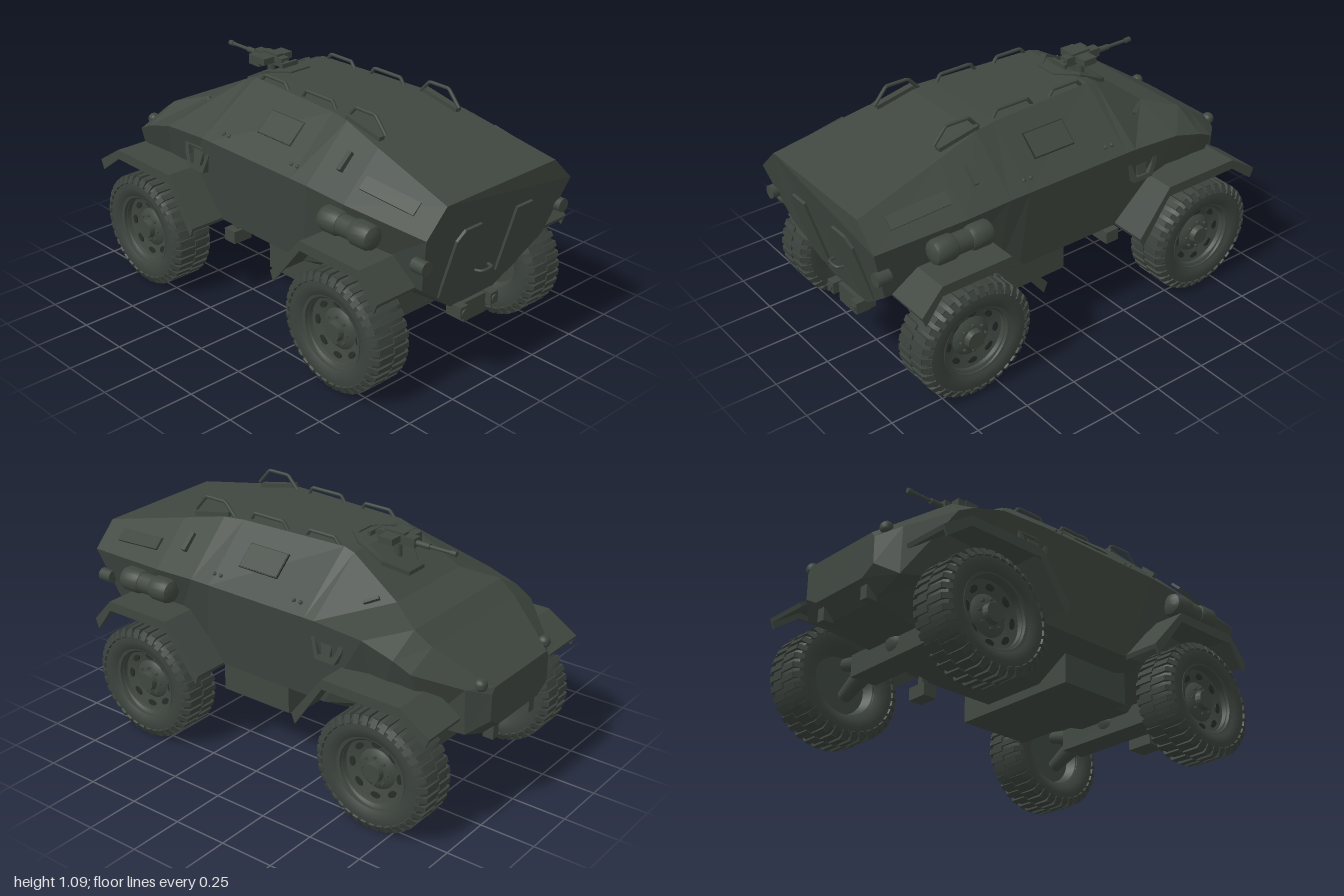
import * as THREE from 'three';
import { mergeGeometries, toCreasedNormals } from 'three/addons/utils/BufferGeometryUtils.js';

const paint = new THREE.MeshStandardMaterial({ color: 0x3f4740 });
paint.name = 'dark green paint';
const dark = new THREE.MeshStandardMaterial({ color: 0x292e2a });
dark.name = 'dark recess';
const rubber = new THREE.MeshStandardMaterial({ color: 0x3b423c });
rubber.name = 'tyre rubber';

const V = (x, y, z) => new THREE.Vector3(x, y, z);

function add(parent, name, geo, mat = paint, pos = [0, 0, 0], rot = [0, 0, 0]) {
  const m = new THREE.Mesh(geo, mat);
  m.name = name;
  m.position.set(...pos);
  m.rotation.set(...rot);
  parent.add(m);
  return m;
}
const box = (w, h, d) => new THREE.BoxGeometry(w, h, d);
const smooth = (g) => toCreasedNormals(g, 0.6);
const revolve = (pts, seg) => new THREE.LatheGeometry(pts.map((p) => new THREE.Vector2(...p)), seg);

// Round bar between two points
function rod(parent, name, a, b, r, r2 = r) {
  const d = b.clone().sub(a);
  const m = add(parent, name, new THREE.CylinderGeometry(r2, r, d.length(), 14));
  m.position.copy(a).add(b).multiplyScalar(0.5);
  m.quaternion.setFromUnitVectors(V(0, 1, 0), d.normalize());
}

// Flat polygon extruded along z, centred in depth
function plate(points, depth, hole) {
  const s = new THREE.Shape(points.map((p) => new THREE.Vector2(...p)));
  if (hole) s.holes.push(new THREE.Path(hole.map((p) => new THREE.Vector2(...p))));
  return new THREE.ExtrudeGeometry(s, { depth, bevelEnabled: false }).translate(0, 0, -depth / 2);
}

// Move every vertex by a rule, then renew the normals
function reshape(geo, rule) {
  const p = geo.attributes.position;
  const v = V(0, 0, 0);
  for (let i = 0; i < p.count; i++) {
    rule(v.fromBufferAttribute(p, i));
    p.setXYZ(i, v.x, v.y, v.z);
  }
  geo.computeVertexNormals();
  return geo;
}

// Faceted hull: half sections as x, then z,y of roof edge, belt, sill and belly
function hullGeometry() {
  const sections = [
    [-1.0, .20, .625, .22, .60, .22, .48, .15, .44],
    [-.93, .24, .67, .31, .635, .30, .43, .15, .37],
    [-.77, .31, .775, .455, .71, .35, .45, .15, .33],
    [-.69, .32, .83, .465, .75, .35, .46, .15, .31],
    [-.54, .23, .875, .47, .795, .36, .46, .15, .29],
    [-.30, .20, 1.02, .47, .81, .40, .41, .16, .27],
    [-.25, .20, 1.035, .47, .81, .40, .41, .16, .27],
    [.27, .23, 1.035, .47, .81, .40, .41, .16, .27],
    [.37, .245, 1.03, .47, .81, .38, .43, .16, .28],
    [.58, .275, .985, .465, .80, .35, .50, .14, .31],
    [.995, .32, .89, .43, .78, .36, .51, .13, .33],
  ];
  const rings = sections.map((s, i) => {
    const half = [1, 3, 5, 7].map((k) => {
      const y = s[k + 1];
      const rake = i === sections.length - 1 ? Math.max(0, .78 - y) * .3 : 0;
      return V(s[0] - rake, y, s[k]);
    });
    return [...half, ...half.map((p) => V(p.x, p.y, -p.z)).reverse()];
  });
  const pos = [];
  const tri = (...ps) => ps.forEach((p) => pos.push(p.x, p.y, p.z));
  for (let i = 0; i < rings.length - 1; i++) {
    for (let j = 0; j < 8; j++) {
      const k = (j + 1) % 8, A = rings[i], B = rings[i + 1];
      tri(A[j], A[k], B[j]);
      tri(B[j], A[k], B[k]);
    }
  }
  const nose = rings[0], tail = rings[rings.length - 1];
  for (let k = 1; k < 7; k++) {
    tri(nose[0], nose[k + 1], nose[k]);
    tri(tail[0], tail[k], tail[k + 1]);
  }
  const g = new THREE.BufferGeometry();
  g.setAttribute('position', new THREE.Float32BufferAttribute(pos, 3));
  g.computeVertexNormals();
  return g;
}

// Wheel with its outer face towards +z, tyre slightly squashed under load
function wheel() {
  const g = new THREE.Group();
  const loaded = (geo) => reshape(geo, (v) => { v.y *= .95; });
  const turn = (pts) => revolve(pts, 44).rotateX(Math.PI / 2);
  add(g, 'tyre', smooth(loaded(turn([[.15, -.07], [.18, -.094], [.215, -.101], [.25, -.093], [.266, -.07], [.268, 0],
    [.266, .07], [.25, .093], [.215, .101], [.18, .094], [.15, .07]]))), rubber);
  add(g, 'rim', smooth(turn([[0, -.03], [.13, -.03], [.155, -.075], [.168, -.075], [.168, .088], [.155, .085],
    [.147, .05], [.09, .035], [.07, .05], [.045, .055], [.04, .08], [0, .08]])));
  const lugs = [];
  for (let i = 0; i < 72; i++) {
    const side = i % 2 ? 1 : -1, a = (i / 72) * Math.PI * 2;
    lugs.push(box(.026, .014, .078).translate(0, .269, side * .041).rotateZ(a));
    lugs.push(box(.026, .04, .012).rotateX(side * -.5).translate(0, .253, side * .089).rotateZ(a));
  }
  add(g, 'treadLugs', loaded(mergeGeometries(lugs)), rubber);
  for (let i = 0; i < 8; i++) {
    const a = (i / 8) * Math.PI * 2;
    add(g, 'rimSlot', new THREE.CylinderGeometry(.017, .017, .006, 14).scale(1.35, 1, .8).rotateX(Math.PI / 2),
      dark, [-Math.sin(a) * .118, Math.cos(a) * .118, .046], [0, 0, a]);
    add(g, 'wheelBolt', new THREE.CylinderGeometry(.007, .007, .014, 6).rotateX(Math.PI / 2),
      paint, [Math.cos(a) * .062, Math.sin(a) * .062, .056]);
  }
  return g;
}

// Bent mudguard plate from the hull outwards, with a deeper outer lip
function mudguard(parent, pts, inner, s) {
  const strip = (t) => [...pts, ...pts.map(([x, y], i) =>
    [x + (i === 0 ? t * .4 : i === 3 ? -t * .4 : 0), y - t]).reverse()];
  add(parent, 'mudguard', plate(strip(.018), .565 - inner), paint, [0, 0, s * (.565 + inner) / 2]);
  add(parent, 'mudguardLip', plate(strip(.045), .01), paint, [0, 0, s * .567]);
}

function handle(parent, x0, x1, y, z, h, slant) {
  const path = new THREE.CurvePath();
  const p = [V(x0, y, z), V(x0 + slant, y + h, z), V(x1 - slant, y + h, z), V(x1, y - .005, z)];
  for (let i = 0; i < 3; i++) path.add(new THREE.LineCurve3(p[i], p[i + 1]));
  add(parent, 'roofHandle', new THREE.TubeGeometry(path, 24, .008, 8));
}

export function createModel() {
  const car = new THREE.Group();
  car.name = 'armouredCar';
  add(car, 'hull', hullGeometry());
  const tank = revolve([[0, -.062], [.03, -.06], [.048, -.05], [.055, -.034], [.055, .034], [.048, .05], [.03, .06], [0, .062]], 22);

  for (const s of [1, -1]) {
    // Wheels, forked axle arms and mudguards
    for (const x of [-.655, .605]) {
      const w = wheel();
      w.name = x < 0 ? 'frontWheel' : 'rearWheel';
      w.position.set(x, .267, s * .47);
      if (s < 0) w.rotation.y = Math.PI;
      car.add(w);
      rod(car, 'upperArm', V(x, .31, s * .24), V(x, .35, s * .40), .04, .028);
      rod(car, 'lowerArm', V(x, .28, s * .24), V(x, .20, s * .40), .045, .03);
    }
    mudguard(car, [[-.942, .535], [-.80, .626], [-.42, .626], [-.262, .42]], .35, s);
    mudguard(car, [[.256, .42], [.44, .626], [.78, .626], [.88, .515]], .29, s);

    // Side vision port, tilted with the lower side
    add(car, 'visionPortFrame', plate([[-.09, .06], [-.08, -.0], [-.05, -.06], [.05, -.06], [.09, .06]], .03,
      [[-.065, .042], [-.055, 0], [-.035, -.04], [.037, -.04], [.066, .042]]),
      paint, [-.355, .70, s * .447], [s * -.18, 0, 0]);
    add(car, 'visionPortFlap', plate([[-.03, .03], [-.02, -.035], [.02, -.035], [.035, .03]], .02),
      paint, [-.355, .70, s * .447], [s * -.18, 0, 0]);

    // Twin tanks at the rear quarter
    for (const x of [.537, .707]) {
      add(car, 'sideTank', smooth(tank.clone()), paint, [x, .72, s * .475], [0, 0, Math.PI / 2]);
    }
    rod(car, 'tankLink', V(.58, .72, s * .475), V(.66, .72, s * .475), .046);
    add(car, 'tankBracket', box(.2, .05, .06), paint, [.62, .72, s * .435]);

    // Hatches, slots and rivets on the upper side plates
    const tilt = s * .735;
    add(car, 'sideHatchSeam', box(.208, .008, .118), dark, [.07, .932, s * .336], [tilt, 0, 0]);
    add(car, 'sideHatch', box(.2, .009, .11), paint, [.07, .9335, s * .3375], [tilt, 0, 0]);
    add(car, 'sideSlot', box(.022, .022, .09), paint, [.48, .921, s * .36], [tilt, 0, 0]);
    add(car, 'rearVent', box(.27, .012, .06), paint, [.755, .872, s * .383], [s * .74, 0, -.16]);
    for (const x of [-.2, -.165, .235, .27]) {
      add(car, 'rivet', new THREE.SphereGeometry(.009, 8, 6), paint, [x, .85, s * .428]);
    }
    add(car, 'frontSlit', box(.07, .016, .014), paint, [-.46, .885, s * .295], [tilt, s * -.6, 0]);

    // Roof handles
    handle(car, -.22, -.04, 1.03, s * .195, .03, .025);
    handle(car, .05, .26, 1.03, s * .2, .035, .025);
    handle(car, .33, .56, 1.02, s * .215, .065, .06);
    add(car, 'handleBracket', box(.2, .025, .03), paint, [.45, 1.018, s * .225], [0, 0, -.2]);

    // Lamps and bumper blocks
    add(car, 'headlamp', smooth(new THREE.SphereGeometry(.028, 16, 12)), paint, [-.962, .642, s * .245]);
    rod(car, 'tailLamp', V(.92, .652, s * .41), V(.985, .652, s * .41), .03);
    add(car, 'towHook', box(.05, .06, .04), paint, [-.955, .39, s * .14]);
    add(car, 'rearBumperBlock', box(.07, .055, .045), paint, [.87, .305, s * .092]);
    rod(car, 'rearBumperBolt', V(.9, .305, s * .092), V(.912, .305, s * .092), .016);

    // Step under the front of the sill
    add(car, 'frontStep', box(.07, .06, .1), paint, [-.345, .262, s * .25]);
    add(car, 'stepBracket', box(.03, .16, .03), paint, [-.345, .35, s * .25]);
  }

  // Axle beams, belly box and tow box
  for (const x of [-.655, .605]) {
    add(car, 'axleBeam', box(.13, .1, .54), paint, [x, .283, 0]);
    add(car, 'differential', smooth(new THREE.SphereGeometry(.08, 16, 12)), paint, [x, .31, 0]);
  }
  add(car, 'bellyBox', box(.37, .19, .64), paint, [.145, .325, 0]);
  add(car, 'rearTowBox', box(.1, .09, .13), paint, [.83, .285, 0]);

  // Raked tail plate details
  const tail = new THREE.Group();
  tail.name = 'tailDetails';
  tail.position.set(.995, .78, 0);
  tail.rotation.z = -.29;
  car.add(tail);
  for (const s of [1, -1]) {
    const pts = [[.105, -.035], [.2, -.035], [.235, -.08], [.24, -.37], [.19, -.41], [.14, -.41], [.105, -.37]]
      .map(([x, y]) => [x * s, y]);
    add(tail, 'tailPanel', plate(pts, .012), paint, [0, 0, 0], [0, Math.PI / 2, 0]);
  }
  const grip = [V(0, -.31, -.04), V(.025, -.3, -.03), V(.025, -.3, .03), V(0, -.31, .04)];
  add(tail, 'tailHandle', new THREE.TubeGeometry(new THREE.CatmullRomCurve3(grip), 16, .007, 8));

  // Octagonal gunner's hatch rim, bent over the roof front
  const octagon = (r) => Array.from({ length: 8 }, (_, i) => {
    const a = ((i + .5) / 8) * Math.PI * 2;
    return [Math.cos(a) * r * 1.1 - .33, Math.sin(a) * r];
  });
  const rim = plate(octagon(.145), .04, octagon(.12)).rotateX(-Math.PI / 2);
  add(car, 'hatchRim', reshape(rim, (v) => { v.y += Math.min(1.022, 1.018 + (v.x + .3) * .604); }));

  // Machine gun on its pintle
  const gun = new THREE.Group();
  gun.name = 'machineGun';
  gun.position.set(-.38, 1.045, 0);
  car.add(gun);
  rod(gun, 'pintle', V(0, -.09, 0), V(0, 0, 0), .018);
  add(gun, 'receiver', box(.19, .04, .045));
  add(gun, 'topCover', box(.1, .014, .035), paint, [.01, .023, 0]);
  add(gun, 'cradle', box(.07, .03, .165), paint, [.01, .005, 0]);
  add(gun, 'ammunitionBox', box(.07, .045, .045), paint, [-.03, -.005, .055]);
  add(gun, 'gripBar', box(.015, .02, .09), paint, [.12, 0, 0]);
  add(gun, 'gripStem', box(.05, .015, .02), paint, [.1, 0, 0]);
  rod(gun, 'barrelJacket', V(-.09, -.003, 0), V(-.16, -.003, 0), .013);
  rod(gun, 'barrel', V(-.15, -.003, 0), V(-.27, -.003, 0), .008);
  rod(gun, 'muzzle', V(-.265, -.003, 0), V(-.29, -.003, 0), .012);
  return car;
}
